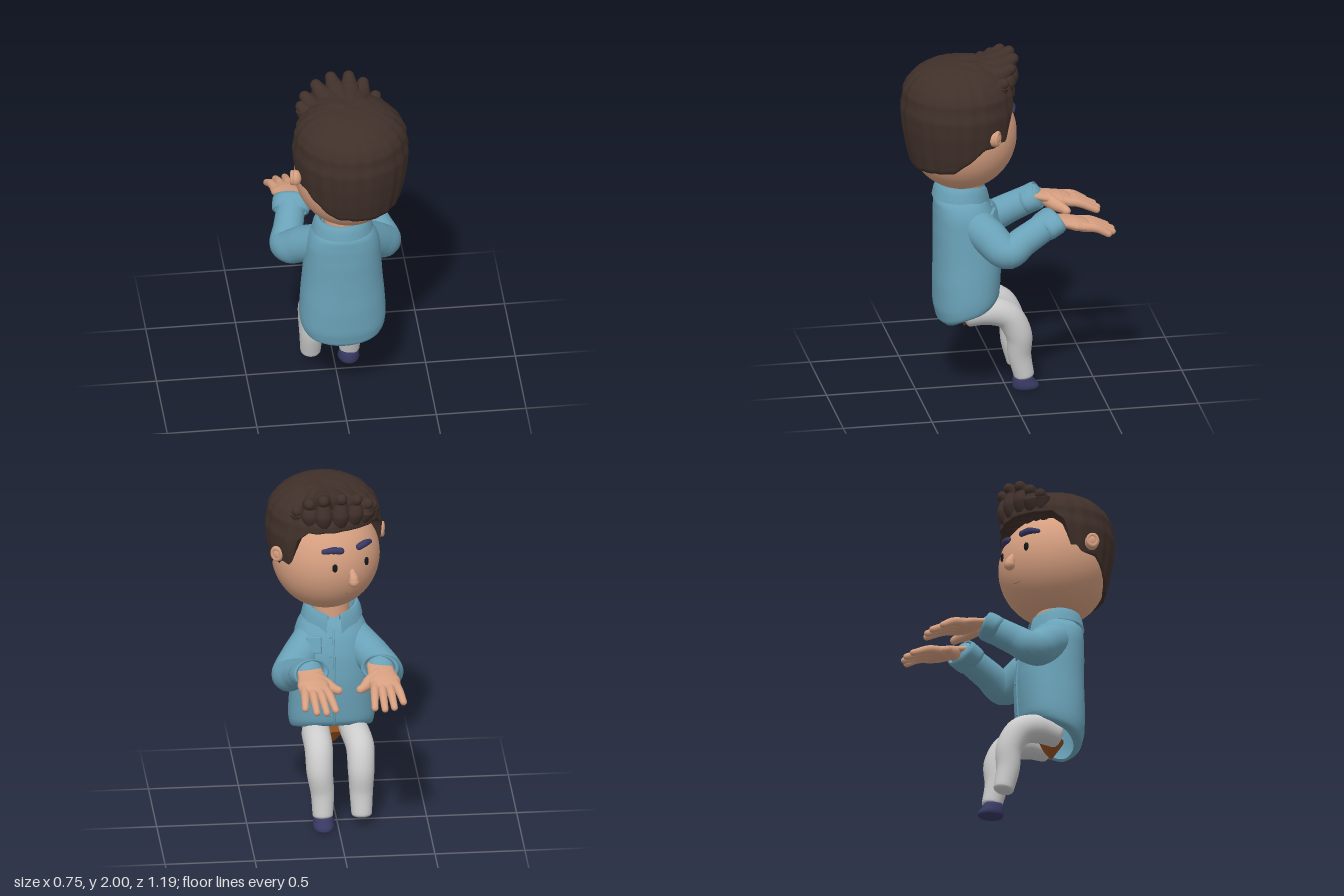
import * as THREE from 'three';
import { RoundedBoxGeometry } from 'three/addons/geometries/RoundedBoxGeometry.js';

const V = (x, y, z) => new THREE.Vector3(x, y, z);
const paint = (color) => new THREE.MeshStandardMaterial({ color, side: THREE.DoubleSide });
const SKIN = paint(0xd69f80), SHIRT = paint(0x6aa2b8), HAIR = paint(0x40302a), NAVY = paint(0x383a63),
  PANTS = paint(0xcccccc), BLACK = paint(0x15151a), BROWN = paint(0x94501f), MOUTH = paint(0xa8745c);

function add(parent, name, geometry, material, pos = [0, 0, 0], rot = [0, 0, 0], scale = [1, 1, 1]) {
  const m = new THREE.Mesh(geometry, material);
  m.name = name;
  m.position.set(...pos);
  m.rotation.set(...rot);
  m.scale.set(...scale);
  parent.add(m);
  return m;
}

// Smooth skin over a grid: f(row, column) gives a point; columns wrap when closed
function surface(rows, cols, f, closed = true) {
  const pos = [], idx = [], n = closed ? cols : cols - 1;
  for (let i = 0; i < rows; i++) for (let j = 0; j < cols; j++) pos.push(...f(i, j).toArray());
  for (let i = 0; i < rows - 1; i++) for (let j = 0; j < n; j++) {
    const k = (j + 1) % cols, a = i * cols + j, b = i * cols + k, c = b + cols, d = a + cols;
    idx.push(a, b, c, a, c, d);
  }
  const g = new THREE.BufferGeometry();
  g.setAttribute('position', new THREE.Float32BufferAttribute(pos, 3));
  g.setIndex(idx);
  g.computeVertexNormals();
  return g;
}

// Linear lookup in [key, value] pairs
function lookup(table, x) {
  let i = 1;
  while (i < table.length - 1 && x > table[i][0]) i++;
  const [x0, y0] = table[i - 1], [x1, y1] = table[i];
  return THREE.MathUtils.lerp(y0, y1, THREE.MathUtils.clamp((x - x0) / (x1 - x0), 0, 1));
}

// Tapered tube along a curve with domed ends (small round gives flatter ends)
function limb(points, radii, round = 1, steps = 24, sides = 20) {
  const curve = new THREE.CatmullRomCurve3(points.map((p) => V(...p)));
  const fr = curve.computeFrenetFrames(steps), cap = 5;
  const table = radii.map((r, i) => [i / (radii.length - 1), r]);
  return surface(steps + 1 + 2 * cap, sides, (i, j) => {
    const s = THREE.MathUtils.clamp(i - cap, 0, steps), over = i - cap - s;
    const e = (Math.abs(over) / cap) * Math.PI / 2, r = lookup(table, s / steps);
    const a = (j / sides) * Math.PI * 2, ring = r * Math.cos(e);
    return curve.getPoint(s / steps)
      .addScaledVector(fr.tangents[s], Math.sign(over) * r * Math.sin(e) * round)
      .addScaledVector(fr.normals[s], ring * Math.cos(a))
      .addScaledVector(fr.binormals[s], ring * Math.sin(a));
  });
}

const ball = (r = 1) => new THREE.SphereGeometry(r, 32, 24);

function buildHead() {
  const head = new THREE.Group();
  head.name = 'head';
  head.position.set(0.04, 0, 0.245);
  head.rotation.y = 0.42;
  add(head, 'face', new THREE.SphereGeometry(1, 48, 36), SKIN, [0, 1.525, 0], [0, 0, 0], [0.3, 0.312, 0.305]);
  add(head, 'nose', limb([[0, 1.525, -0.3], [0, 1.49, -0.318], [0, 1.468, -0.322]], [0.016, 0.026, 0.03]), SKIN);
  add(head, 'mouth', limb([[-0.06, 1.385, -0.262], [0, 1.378, -0.267], [0.06, 1.385, -0.262]], [0.002, 0.003, 0.002]), MOUTH);
  for (const s of [-1, 1]) {
    add(head, 'eye', ball(), BLACK, [s * 0.1, 1.558, -0.286], [0, s * -0.33, 0], [0.015, 0.025, 0.01]);
    add(head, 'eyebrow', limb([[s * 0.058, 1.652, -0.278], [s * 0.1, 1.658, -0.266], [s * 0.145, 1.65, -0.24]], [0.019, 0.02, 0.014]), NAVY);
    // Ears flare outward and turn slightly forward
    add(head, 'ear', ball(), SKIN, [s * 0.318 - 0.016, 1.587, -0.01], [0, s * 0.6, 0], [0.032, 0.046, 0.038]);
    add(head, 'earRim', new THREE.TorusGeometry(0.028, 0.012, 10, 28), SKIN, [s * 0.335 - 0.016, 1.59, -0.018],
      [0, Math.PI / 2 + s * 0.6, 0], [0.95, 1.15, 1]);
  }

  // Hair shell: a profile of revolution with clumps, trimmed along the hairline
  const profile = [[1.37, 0.266], [1.48, 0.293], [1.6, 0.313], [1.7, 0.321], [1.755, 0.31], [1.8, 0.308],
    [1.85, 0.284], [1.9, 0.238], [1.935, 0.18], [1.955, 0.11], [1.963, 0]];
  const hairline = [[0, 1.77], [45, 1.76], [56, 1.71], [66, 1.52], [72, 1.47], [82, 1.53], [95, 1.53],
    [112, 1.455], [130, 1.39], [180, 1.37]];
  const rows = 44, cols = 160;
  add(head, 'hair', surface(rows + 1, cols, (i, j) => {
    const a = (j / cols) * Math.PI * 2; // zero at the back
    const low = lookup(hairline, Math.abs(180 - (a * 180) / Math.PI));
    const t = Math.max(0, i - 1) / (rows - 1);
    const y = low + (1.963 - low) * (1 - (1 - t) ** 1.7);
    let r = lookup(profile, y) * (0.988 + 0.02 * Math.abs(Math.sin(9.5 * a + 1.5 * y)) + 0.007 * Math.sin(23 * a));
    if (i === 0) r *= 0.7;
    return V(Math.sin(a) * r, y, Math.cos(a) * r + 0.024);
  }), HAIR);
  return head;
}

// Thick locks swept forward and up over the forehead
function buildQuiff() {
  const g = new THREE.Group();
  g.name = 'quiff';
  const tips = [[-0.205, 0.095, 1.87], [-0.178, 0.045, 1.9], [-0.112, 0.005, 1.945], [-0.025, -0.03, 1.965],
    [0.075, -0.035, 1.96], [0.152, -0.005, 1.93], [0.215, 0.045, 1.87]];
  for (const [x, z, y] of tips) {
    const at = (k, h) => [0.06 + (x - 0.06) * k, h, 0.27 + (z - 0.27) * k];
    add(g, 'sweptLock', limb([at(-0.1, 1.885), at(0.4, 1.893), at(0.76, y - 0.045), at(1, y)], [0.07, 0.07, 0.06, 0.032]), HAIR);
    add(g, 'fringeLock', limb([at(0.79, 1.78), at(0.88, 1.815), at(0.94, 1.86), at(0.93, y - 0.03)], [0.035, 0.047, 0.05, 0.035]), HAIR);
  }
  return g;
}

function buildShirt() {
  const g = new THREE.Group();
  g.name = 'shirt';
  // Cross-sections: height, half width, centre z, half depth
  const sections = [[0.4, 0.185, 0.225, 0.12], [0.43, 0.222, 0.222, 0.16], [0.5, 0.238, 0.218, 0.18], [0.65, 0.234, 0.215, 0.186],
    [0.8, 0.222, 0.212, 0.186], [0.95, 0.212, 0.22, 0.18], [1.06, 0.2, 0.235, 0.164], [1.13, 0.168, 0.25, 0.145], [1.18, 0.11, 0.255, 0.11]];
  const shape = new THREE.CatmullRomCurve3(sections.map(([y, w, z]) => V(y, w, z)));
  const depth = sections.map((s) => [s[0], s[3]]);
  const rows = 40, cols = 64;
  // Point on the shirt; a is zero at the back, and the hem rises towards the front
  const bodyPoint = (t, a, k = 1) => {
    const p = shape.getPoint(t), c = Math.cos(a), s = Math.sin(a);
    const bulge = (v) => Math.sign(v) * Math.abs(v) ** 0.86;
    const lift = 0.08 * (1 - c) * (1 - t) ** 2.5;
    return V(0.01 + bulge(s) * p.y * k, p.x + lift, p.z + bulge(c) * lookup(depth, p.x) * k);
  };
  add(g, 'body', surface(rows + 1, cols, (i, j) => {
    const p = bodyPoint(Math.max(0, i - 1) / (rows - 1), (j / cols) * Math.PI * 2, i ? 1 : 0.93);
    if (i === 0) p.y += 0.012;
    return p;
  }), SHIRT);

  // Button strip and buttons lying on the chest
  const strip = Array.from({ length: 12 }, (_, i) => bodyPoint(0.06 + i * 0.07, Math.PI).toArray());
  add(g, 'placket', limb(strip, [0.006, 0.006]), SHIRT);
  for (const t of [0.3, 0.48, 0.64, 0.77]) add(g, 'button', ball(0.007), SHIRT, bodyPoint(t, Math.PI - 0.07).toArray());

  // Folded collar, open at the front with two points
  const fold = [[0.17, 1.15], [0.16, 1.195], [0.147, 1.226], [0.136, 1.232], [0.125, 1.222], [0.115, 1.14]];
  add(g, 'collar', surface(fold.length, 61, (i, j) => {
    const a = (j / 60 - 0.5) * 2 * 2.9, front = Math.max(0, Math.abs(a) - 1.8) / 1.1;
    const point = Math.max(0, 1 - Math.abs(Math.abs(a) - 2.65) / 0.5);
    const [r, y] = fold[i], outer = Math.max(0, 1 - i / 2);
    return V(0.005 + Math.sin(a) * r, y - 0.05 * point * outer - 0.035 * front, 0.25 + Math.cos(a) * (r * 0.92 + 0.012 * front));
  }, false), SHIRT);
  add(g, 'pocket', new RoundedBoxGeometry(0.085, 0.095, 0.02, 3, 0.008), SHIRT, [0.118, 1.035, 0.074], [0.3, -0.4, 0]);
  return g;
}

// Hand with palm down and fingers along -z; thumb on the -x side
function buildHand(mirror) {
  const hand = new THREE.Group();
  hand.name = 'hand';
  add(hand, 'palm', limb([[0, 0, 0.05], [0, 0, -0.03], [0.004, 0, -0.1], [0.008, 0, -0.15]], [0.07, 0.076, 0.09, 0.084], 0.5),
    SKIN, [0, 0, 0], [0, 0, 0], [1, 0.4, 1]);
  for (const [x0, x1, z] of [[-0.05, -0.078, -0.318], [-0.015, -0.024, -0.334], [0.022, 0.03, -0.324], [0.06, 0.087, -0.282]])
    add(hand, 'finger', limb([[x0, 0, -0.13], [(x0 + x1) / 2, 0.008, -0.21], [x1, -0.01, z]], [0.027, 0.024, 0.019], 1, 14, 14), SKIN);
  add(hand, 'thumb', limb([[-0.025, -0.01, -0.04], [-0.08, -0.02, -0.085], [-0.112, -0.024, -0.12], [-0.132, -0.026, -0.132]],
    [0.042, 0.036, 0.026, 0.023], 1, 14, 14), SKIN);
  hand.scale.x = mirror;
  return hand;
}

function buildArm(side, shoulder, elbow, wrist, yaw) {
  const arm = new THREE.Group();
  arm.name = side > 0 ? 'leftArm' : 'rightArm';
  const a = V(...shoulder), e = V(...elbow), w = V(...wrist);
  const mix = (p, q, t) => p.clone().lerp(q, t).toArray();
  add(arm, 'sleeve', limb([shoulder, mix(a, e, 0.6), elbow, mix(e, w, 0.4), wrist], [0.1, 0.102, 0.092, 0.084, 0.078], 0.7, 36, 28), SHIRT);
  // Rolled cuff with an open mouth
  const start = V(...mix(e, w, 0.78)), end = V(...mix(e, w, 1.1));
  const dir = end.clone().sub(start), len = dir.length();
  const rim = [[0.078, 0], [0.091, 0.005], [0.095, 0.025], [0.096, len - 0.018], [0.091, len], [0.08, len - 0.002], [0.072, len - 0.03]]
    .map(([r, y]) => new THREE.Vector2(r, y));
  const cuff = add(arm, 'cuff', new THREE.LatheGeometry(rim, 36), SHIRT, start.toArray(), [0, 0, 0], [1.12, 1, 0.8]);
  const yAxis = dir.normalize(), xAxis = yAxis.clone().cross(V(0, 1, 0)).normalize();
  cuff.quaternion.setFromRotationMatrix(new THREE.Matrix4().makeBasis(xAxis, yAxis, xAxis.clone().cross(yAxis)));
  const hand = buildHand(side);
  hand.position.copy(w).add(V(0, 0.01, -0.035));
  hand.rotation.set(-0.26, yaw, 0, 'YXZ');
  arm.add(hand);
  return arm;
}

function buildLeg(x, knee, foot) {
  return limb([[x * 0.9, 0.465, 0.22], [x, 0.48, 0.11], [knee, 0.44, 0.0], [knee, 0.33, -0.062], [foot, 0.2, -0.07], [foot, 0.078, -0.095]],
    [0.072, 0.08, 0.079, 0.074, 0.065, 0.057], 0.4, 40, 28);
}

export function createModel() {
  const model = new THREE.Group();
  model.name = 'seatedMan';
  model.add(buildHead(), buildQuiff(), buildShirt());
  add(model, 'neck', new THREE.CylinderGeometry(0.1, 0.105, 0.2, 32), SKIN, [0.01, 1.17, 0.24]);
  model.add(buildArm(1, [0.085, 1.055, 0.245], [0.268, 0.882, 0.035], [0.17, 1.008, -0.232], 0.12));
  model.add(buildArm(-1, [-0.07, 1.055, 0.245], [-0.283, 0.882, 0.03], [-0.222, 1.008, -0.207], 0.06));

  // Legs, one shoe and the seat between them
  add(model, 'leftLeg', buildLeg(0.105, 0.1, 0.086), PANTS);
  add(model, 'rightLeg', buildLeg(-0.112, -0.13, -0.13), PANTS);
  add(model, 'seat', new THREE.ConeGeometry(0.095, 0.1, 24), BROWN, [0.01, 0.41, 0.225], [Math.PI, 0, 0], [1, 1, 0.7]);
  // Shoe sections: height, half width, half length, centre z
  const shoe = [[0.003, 0, 0, -0.1], [0, 0.052, 0.068, -0.105], [0.012, 0.06, 0.076, -0.106], [0.03, 0.058, 0.07, -0.1],
    [0.055, 0.054, 0.058, -0.09], [0.08, 0.05, 0.052, -0.09], [0.082, 0, 0, -0.09]];
  add(model, 'shoe', surface(shoe.length, 36, (i, j) => {
    const [y, w, l, z] = shoe[i], a = (j / 36) * Math.PI * 2;
    return V(0.083 + Math.sin(a) * w, y, z + Math.cos(a) * l);
  }), NAVY);
  return model;
}
